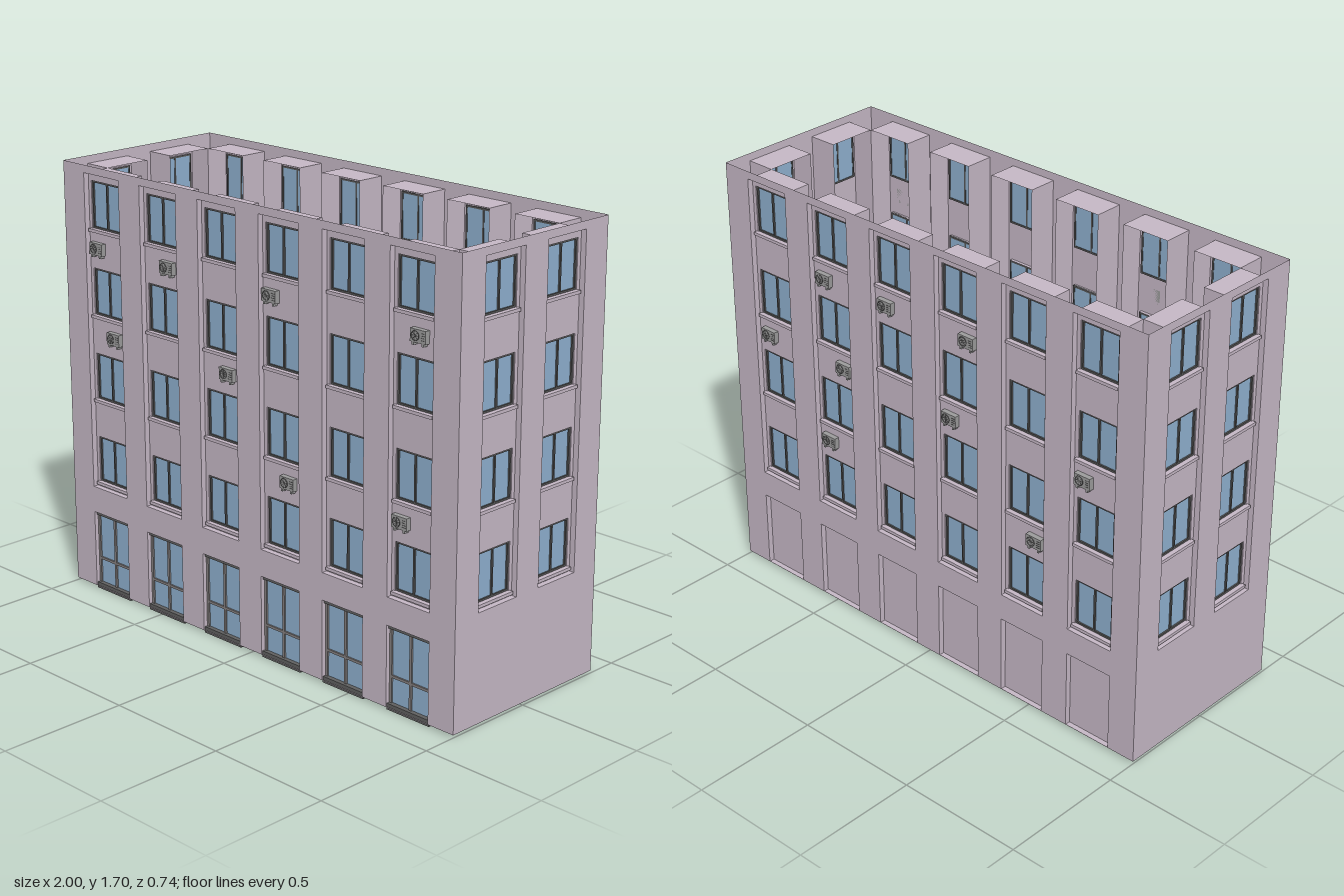
import * as THREE from 'three';
import { mergeGeometries } from 'three/addons/utils/BufferGeometryUtils.js';

const material = (color, side = THREE.FrontSide) => new THREE.MeshStandardMaterial({ color, side });
const wallMat = material(0xc6b8c6, THREE.DoubleSide);
const glassMat = material(0x8fb0cf, THREE.DoubleSide);
const frameMat = material(0x555555);
const doorMat = material(0x858080);
const unitMat = material(0x9c9c9c);
const darkMat = material(0x606060);

const BASE = 0.01, TOP = 1.697, SPACING = 0.3136, BAY_W = 0.197;
const BAY_LOW = 0.425, BAY_HIGH = 1.667, DOOR_HIGH = 0.32;
const REVEAL = 0.117, PANEL_Z = -0.022, GLASS_Z = -0.032;
const WIN_W = 0.165, WIN_H = 0.182;
const windowRows = [0, 1, 2, 3].map((r) => 1.546 - 0.336 * r);

function add(parent, name, geometry, mat, x = 0, y = 0, z = 0) {
  const mesh = new THREE.Mesh(geometry, mat);
  mesh.name = name;
  mesh.position.set(x, y, z);
  parent.add(mesh);
  return mesh;
}

const box = (w, h, d, x = 0, y = 0, z = 0) => new THREE.BoxGeometry(w, h, d).translate(x, y, z);

// Rectangle outline given by its centre and size
function rect(Type, x, y, w, h) {
  const p = new Type();
  p.moveTo(x - w / 2, y - h / 2);
  p.lineTo(x + w / 2, y - h / 2);
  p.lineTo(x + w / 2, y + h / 2);
  p.lineTo(x - w / 2, y + h / 2);
  p.closePath();
  return p;
}

// Flat sheet with rectangular holes, each [x, y, w, h]
function sheet(x, y, w, h, holes) {
  const shape = rect(THREE.Shape, x, y, w, h);
  holes.forEach((hole) => shape.holes.push(rect(THREE.Path, ...hole)));
  return new THREE.ShapeGeometry(shape);
}

// Open rectangular sleeve: the four sides of a box, running back from z = 0
function sleeve(w, h, d) {
  const g = new THREE.BoxGeometry(w, h, d).translate(0, 0, -d / 2);
  g.setIndex(Array.from(g.index.array).slice(0, 24));
  return g;
}

// Two-light window frame with a centre mullion
function windowFrame() {
  const t = 0.007, paneW = WIN_W / 2 - 1.5 * t;
  const shape = rect(THREE.Shape, 0, 0, WIN_W, WIN_H);
  for (const s of [-1, 1]) {
    shape.holes.push(rect(THREE.Path, s * (paneW + t) / 2, 0, paneW, WIN_H - 2 * t));
  }
  return new THREE.ExtrudeGeometry(shape, { depth: 0.008, bevelEnabled: false });
}

const parts = {
  frame: windowFrame(),
  pane: new THREE.PlaneGeometry(WIN_W, WIN_H),
  windowReveal: sleeve(WIN_W, WIN_H, 0.012),
  sill: box(WIN_W + 0.014, 0.012, 0.014, 0, 0, 0.007),
  bayReveal: sleeve(BAY_W, BAY_HIGH - BAY_LOW, REVEAL),
  doorReveal: sleeve(BAY_W, DOOR_HIGH - BASE, REVEAL),
  doorGlass: new THREE.PlaneGeometry(BAY_W, DOOR_HIGH - BASE),
  doorFrame: mergeGeometries([
    ...[-0.093, 0, 0.093].map((x) => box(0.011, 0.31, 0.012, x, 0.165, 0)),
    box(BAY_W, 0.01, 0.012, 0, 0.125, 0),
  ]),
  doorRails: mergeGeometries([
    box(BAY_W + 0.003, 0.015, 0.018, 0, 0.313, 0.003),
    box(BAY_W + 0.003, 0.024, 0.024, 0, 0.012, 0.006),
  ]),
  unitBody: mergeGeometries([
    box(0.07, 0.046, 0.02, 0, 0, 0.01),
    box(0.008, 0.012, 0.02, -0.022, -0.027, 0.01),
    box(0.008, 0.012, 0.02, 0.022, -0.027, 0.01),
  ]),
  unitFan: mergeGeometries([
    new THREE.TorusGeometry(0.017, 0.0015, 6, 20),
    new THREE.CylinderGeometry(0.004, 0.004, 0.002, 12).rotateX(Math.PI / 2),
    ...[0, 1, 2, 3].map((i) => box(0.03, 0.002, 0.001).rotateZ(i * Math.PI / 4)),
    ...[0, 1, 2, 3].map((i) => box(0.016, 0.002, 0.001, 0.035, -0.012 + i * 0.008, 0)),
  ]),
};

// Recessed bay with a column of four windows
function windowBay(x) {
  const bay = new THREE.Group();
  bay.name = 'windowBay';
  bay.position.x = x;
  const mid = (BAY_LOW + BAY_HIGH) / 2;
  add(bay, 'bayReveal', parts.bayReveal, wallMat, 0, mid);
  const holes = windowRows.map((y) => [0, y, WIN_W, WIN_H]);
  add(bay, 'bayPanel', sheet(0, mid, BAY_W, BAY_HIGH - BAY_LOW, holes), wallMat, 0, 0, PANEL_Z);
  for (const y of windowRows) {
    add(bay, 'windowReveal', parts.windowReveal, wallMat, 0, y, PANEL_Z);
    add(bay, 'windowGlass', parts.pane, glassMat, 0, y, GLASS_Z);
    add(bay, 'windowFrame', parts.frame, frameMat, 0, y, GLASS_Z - 0.002);
    add(bay, 'windowSill', parts.sill, wallMat, 0, y - WIN_H / 2 - 0.006, PANEL_Z);
  }
  return bay;
}

// Ground-floor opening: glazed door or blank panel
function groundBay(x, glazed) {
  const bay = new THREE.Group();
  bay.name = glazed ? 'glassDoor' : 'blankDoorway';
  bay.position.x = x;
  const mid = (BASE + DOOR_HIGH) / 2;
  add(bay, 'doorReveal', parts.doorReveal, wallMat, 0, mid);
  add(bay, glazed ? 'doorGlass' : 'blankPanel', parts.doorGlass, glazed ? glassMat : wallMat, 0, mid, PANEL_Z);
  if (glazed) {
    add(bay, 'doorFrame', parts.doorFrame, doorMat, 0, 0, PANEL_Z);
    add(bay, 'doorRails', parts.doorRails, darkMat, 0, 0, PANEL_Z);
  }
  return bay;
}

function airConditioner(x, y) {
  const unit = new THREE.Group();
  unit.name = 'airConditioner';
  unit.position.set(x, y, PANEL_Z);
  add(unit, 'unitBody', parts.unitBody, unitMat);
  add(unit, 'unitFan', parts.unitFan, darkMat, -0.012, 0, 0.0205);
  return unit;
}

// One outer wall, facing local +z; ground is 'glazed', 'blank' or 'none'
function facade(name, width, bays, ground, units) {
  const wall = new THREE.Group();
  wall.name = name;
  const holes = [];
  for (let i = 0; i < bays; i++) {
    const x = (i - (bays - 1) / 2) * SPACING;
    holes.push([x, (BAY_LOW + BAY_HIGH) / 2, BAY_W, BAY_HIGH - BAY_LOW]);
    wall.add(windowBay(x));
    if (ground !== 'none') {
      // doorway hole kept just above the wall's lower edge
      holes.push([x, (BASE + DOOR_HIGH) / 2 + 0.0005, BAY_W, DOOR_HIGH - BASE - 0.001]);
      wall.add(groundBay(x, ground === 'glazed'));
    }
  }
  add(wall, 'wallFace', sheet(0, (BASE + TOP) / 2, width, TOP - BASE, holes), wallMat);
  units.forEach(([x, y]) => wall.add(airConditioner(x, y)));
  return wall;
}

export function createModel() {
  const building = new THREE.Group();
  building.name = 'building';
  const zFront = 0.365, zBack = -0.378, zMid = (zFront + zBack) / 2;

  const front = facade('frontWall', 2, 6, 'glazed', [
    [-0.83, 1.382], [-0.435, 1.382], [0.105, 1.382], [0.81, 1.382],
    [-0.745, 1.046], [-0.12, 1.046], [0.19, 0.71], [0.735, 0.71],
  ]);
  front.position.z = zFront;

  // the back wall is turned round, so its x runs the other way
  const back = facade('backWall', 2, 6, 'blank', [
    [-0.51, 1.382], [-0.195, 1.382], [0.2, 1.382], [-0.82, 1.046], [-0.42, 1.046],
    [0.115, 1.046], [0.735, 1.046], [-0.51, 0.71], [0.52, 0.71],
  ]);
  back.position.z = zBack;
  back.rotation.y = Math.PI;
  building.add(front, back);

  for (const s of [-1, 1]) {
    const side = facade(s > 0 ? 'leftWall' : 'rightWall', zFront - zBack, 2, 'none', []);
    side.position.set(s, 0, zMid);
    side.rotation.y = s * Math.PI / 2;
    building.add(side);
  }
  return building;
}
